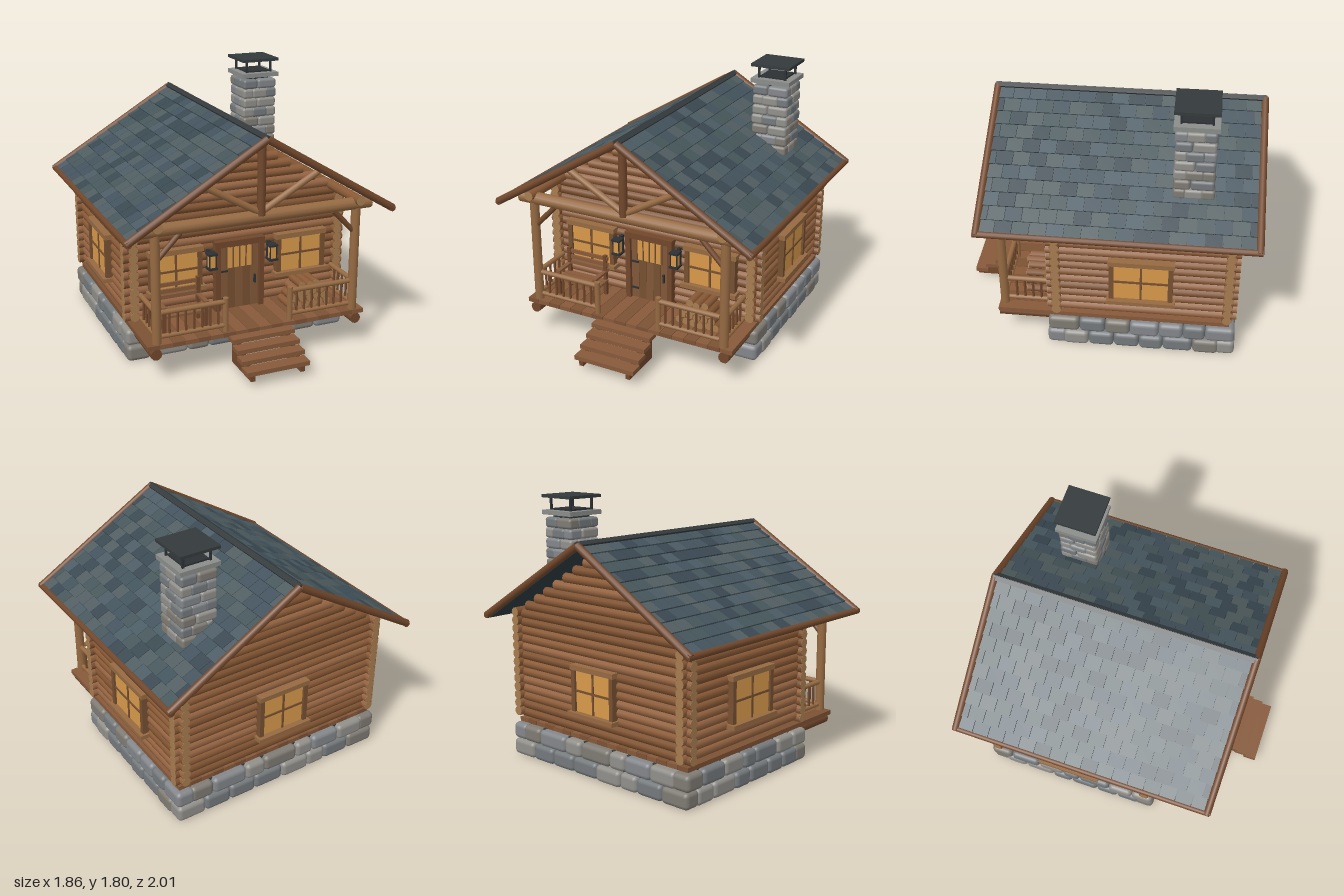
import * as THREE from 'three';
import { mergeGeometries } from 'three/addons/utils/BufferGeometryUtils.js';
import { RoundedBoxGeometry } from 'three/addons/geometries/RoundedBoxGeometry.js';

const LOGS = [0x8a5a36, 0x7f5230, 0x946340];
const END = 0xa67c50, TRIM = 0x71472b, POST = 0x966a42, PLANK = 0x86593a, DOOR = 0x765031;
const GLASS = 0xd8994a, IRON = 0x2c3134, DARK = 0x343a3c;
const SLATES = [0x42525c, 0x4b5b64, 0x3a4851, 0x505d60, 0x46565a];
const STONES = [0x83868a, 0x74797c, 0x908f8a, 0x7f7b74];
const RIDGE = 1.53, PITCH = 0.604, ANGLE = Math.atan(PITCH);

export function createModel() {
  const model = new THREE.Group();
  model.name = 'logCabin';
  let seed = 7;
  const rnd = () => (seed = (seed * 16807) % 2147483647) / 2147483647;
  const pick = (list) => list[Math.floor(rnd() * list.length)];

  // Pieces of one part and colour are gathered and merged into one mesh
  const batches = new Map();
  function add(name, color, geo, matrix) {
    if (matrix) geo.applyMatrix4(matrix);
    const key = name + color;
    if (!batches.has(key)) batches.set(key, { name, color, list: [] });
    batches.get(key).list.push(geo.index ? geo.toNonIndexed() : geo);
  }
  function box(name, color, w, h, d, x, y, z, matrix) {
    add(name, color, new THREE.BoxGeometry(w, h, d).translate(x, y, z), matrix);
  }
  // Round bar between two points, optionally with pale sawn ends
  function bar(name, color, a, b, r, ends = false, sides = 12) {
    const p = new THREE.Vector3(...a), q = new THREE.Vector3(...b);
    const dir = q.clone().sub(p), len = dir.length();
    const m = new THREE.Matrix4().compose(p.add(q).multiplyScalar(0.5),
      new THREE.Quaternion().setFromUnitVectors(new THREE.Vector3(0, 1, 0), dir.normalize()),
      new THREE.Vector3(1, 1, 1));
    add(name, color, new THREE.CylinderGeometry(r, r, len, sides), m);
    if (ends) add(name + 'Ends', END, new THREE.CylinderGeometry(r * 0.95, r * 0.95, len + 0.006, sides), m);
  }

  // Courses of rounded stones around a rectangle
  function stoneRing(name, cx, cz, hx, hz, y0, rows, rowH, stoneW, depth) {
    for (let row = 0; row < rows; row++) {
      for (let side = 0; side < 4; side++) {
        const alongX = side % 2 === 0, sign = side < 2 ? 1 : -1;
        const full = alongX === (row % 2 === 0);
        const half = (alongX ? hx : hz) - (full ? 0 : depth * 0.85);
        const n = Math.max(1, Math.round(2 * half / stoneW));
        const cuts = Array.from({ length: n + 1 }, (_, i) =>
          -half + 2 * half * (i + (i % n ? (rnd() - 0.5) * 0.35 : 0)) / n);
        for (let i = 0; i < n; i++) {
          const w = cuts[i + 1] - cuts[i], c = (cuts[i] + cuts[i + 1]) / 2;
          const d = depth * (1 + rnd() * 0.15), h = rowH * 0.99;
          const out = sign * ((alongX ? hz : hx) - depth / 2);
          const geo = new RoundedBoxGeometry(alongX ? w : d, h, alongX ? d : w, 2, Math.min(w, h, d) * 0.27);
          geo.translate(cx + (alongX ? c : out), y0 + rowH * (row + 0.5), cz + (alongX ? out : c));
          add(name, pick(STONES), geo);
        }
      }
    }
  }

  // Stone foundation with a dark core
  stoneRing('foundationStones', 0, -0.255, 0.8, 0.625, 0, 2, 0.113, 0.19, 0.12);
  box('foundationCore', DARK, 1.5, 0.21, 1.16, 0, 0.115, -0.255);

  // Floor planks running front to back, carried by two porch joists
  for (let i = 0; i < 18; i++) {
    box('floorPlanks', i % 2 ? PLANK : 0x7c5134, 0.083, 0.03, 1.55, -0.731 + i * 0.086, 0.247, -0.065);
  }
  for (const s of [-1, 1]) bar('porchJoist', TRIM, [s * 0.715, 0.198, 0.3], [s * 0.715, 0.198, 0.71], 0.037);

  // Log walls with crossing corners and stepped gables
  const R = 0.033, STEP = 0.058;
  for (let y = 0.307; y < 1.48; y += STEP) {
    const half = Math.min(0.8, (1.5 - y - R) / PITCH);
    if (half < 0.03) break;
    for (const z of [0.31, -0.82]) bar('gableWallLogs', pick(LOGS), [-half, y, z], [half, y, z], R, half > 0.7);
  }
  for (let y = 0.318; y < 1.03; y += STEP) {
    for (const x of [-0.742, 0.742]) bar('sideWallLogs', pick(LOGS), [x, y, -0.88], [x, y, 0.37], R, true);
  }

  // Windows: built facing +z, then turned onto their wall
  function windowUnit(w, h, x, y, z, turn) {
    const m = new THREE.Matrix4().makeRotationY(turn).setPosition(x, y, z);
    const put = (n, c, ...v) => box(n, c, ...v, m);
    put('windowGlass', GLASS, w, h, 0.04, 0, 0, 0.02);
    for (const s of [-1, 1]) put('windowFrame', DOOR, 0.032, h, 0.06, s * (w / 2 + 0.012), 0, 0.025);
    put('windowHeader', POST, w + 0.07, 0.034, 0.07, 0, h / 2 + 0.015, 0.025);
    put('windowSill', POST, w + 0.09, 0.028, 0.09, 0, -h / 2 - 0.014, 0.035);
    put('windowBars', DOOR, 0.014, h, 0.05, 0, 0, 0.022);
    put('windowBars', DOOR, w, 0.014, 0.05, 0, 0, 0.022);
  }
  for (const s of [-1, 1]) {
    windowUnit(0.31, 0.24, s * 0.455, 0.6, 0.33, 0);
    windowUnit(0.36, 0.28, s * 0.755, 0.585, -0.25, s * Math.PI / 2);
  }
  windowUnit(0.32, 0.28, 0, 0.575, -0.832, Math.PI);

  // Plank door with barred light, hinges and handle
  for (const s of [-1, 1]) box('doorFrame', TRIM, 0.036, 0.47, 0.08, s * 0.16, 0.497, 0.345);
  box('doorFrame', TRIM, 0.36, 0.042, 0.085, 0, 0.737, 0.345);
  for (let i = 0; i < 5; i++) box('doorPlanks', i % 2 ? DOOR : 0x805838, 0.054, 0.45, 0.05, -0.112 + i * 0.056, 0.49, 0.34);
  box('doorLight', GLASS, 0.19, 0.145, 0.056, 0, 0.632, 0.342);
  for (let i = -2; i <= 2; i++) box('doorLightBars', DOOR, 0.009, 0.15, 0.064, i * 0.047, 0.632, 0.342);
  for (const y of [0.34, 0.54]) box('doorHinges', IRON, 0.055, 0.012, 0.012, -0.113, y, 0.368);
  box('doorHandle', IRON, 0.012, 0.06, 0.025, 0.112, 0.46, 0.372);

  for (const s of [-1, 1]) {
    // Lanterns beside the door
    box('lanternGlass', GLASS, 0.044, 0.085, 0.044, s * 0.22, 0.65, 0.415);
    for (const y of [0.6, 0.7]) box('lanternCaps', IRON, 0.064, 0.014, 0.066, s * 0.22, y, 0.415);
    box('lanternBracket', IRON, 0.02, 0.13, 0.03, s * 0.22, 0.645, 0.36);
    box('lanternBracket', IRON, 0.014, 0.014, 0.07, s * 0.22, 0.585, 0.385);
    for (const dx of [-1, 1]) for (const dz of [-1, 1])
      box('lanternBars', IRON, 0.007, 0.09, 0.007, s * 0.22 + dx * 0.023, 0.65, 0.415 + dz * 0.023);

    // Porch posts, eave beams and knee braces
    bar('porchPost', POST, [s * 0.7, 0.23, 0.675], [s * 0.7, 0.99, 0.675], 0.031);
    bar('eaveBeam', LOGS[0], [s * 0.7, 1.045, 0.3], [s * 0.7, 1.045, 0.735], 0.033, true);
    bar('kneeBrace', TRIM, [s * 0.68, 0.83, 0.675], [s * 0.535, 0.98, 0.675], 0.018);

    // Railings along the front and the ends of the porch
    const rails = [[[s * 0.67, 0.675], [s * 0.225, 0.675], 8], [[s * 0.7, 0.645], [s * 0.7, 0.37], 5]];
    for (const [[x0, z0], [x1, z1], n] of rails) {
      bar('railTop', POST, [x0, 0.468, z0], [x1, 0.468, z1], 0.017);
      bar('railBottom', POST, [x0, 0.305, z0], [x1, 0.305, z1], 0.015);
      for (let i = 1; i < n; i++) {
        const x = x0 + (x1 - x0) * i / n, z = z0 + (z1 - z0) * i / n;
        bar('balusters', TRIM, [x, 0.305, z], [x, 0.468, z], 0.0085, false, 8);
      }
    }
    bar('railNewel', POST, [s * 0.23, 0.25, 0.675], [s * 0.23, 0.495, 0.675], 0.019);

    // Diagonal struts of the front truss
    bar('trussStrut', POST, [0, 1.045, 0.69], [s * 0.42, 1.28, 0.69], 0.022);

    // Rake and eave logs around the roof edge
    for (const z of [0.78, -0.98]) bar('rakeLog', TRIM, [0, 1.54, z], [s * 0.915, 0.988, z], 0.025);
    bar('eaveLog', TRIM, [s * 0.905, 0.99, -1], [s * 0.905, 0.99, 0.8], 0.022);

    // Roof deck
    const deck = new THREE.Matrix4().makeRotationZ(-s * ANGLE).setPosition(s * 0.45, RIDGE - 0.45 * PITCH - 0.008, -0.1);
    box('roofDeck', 0x2f3b42, 1.055, 0.02, 1.75, 0, 0, 0, deck);

    // Staggered shingles, each tipped up at its lower edge
    for (let row = 0; row < 11; row++) {
      const x = 0.043 + row * 0.082, m = new THREE.Matrix4().makeRotationZ(-s * (ANGLE - 0.1));
      m.setPosition(s * x, RIDGE + 0.014 - x * PITCH, 0);
      const w = 0.109, shift = (row % 2) * w / 2;
      for (let z = -0.97 - shift; z < 0.76; z += w) {
        const a = Math.max(z, -0.97), b = Math.min(z + w, 0.77);
        if (b - a > 0.01) box('roofShingles', pick(SLATES), 0.105, 0.012, b - a - 0.004, 0, 0, (a + b) / 2, m);
      }
    }
    // Ridge cap, one wing per slope
    const cap = new THREE.Matrix4().makeRotationZ(-s * ANGLE).setPosition(s * 0.011, 1.551, -0.1);
    box('ridgeCap', DARK, 0.036, 0.014, 1.78, 0, 0, 0, cap);
  }
  bar('tieBeam', POST, [-0.8, 1.015, 0.675], [0.8, 1.015, 0.675], 0.042, true);
  bar('kingPost', TRIM, [0, 1.03, 0.7], [0, 1.53, 0.7], 0.027);

  // Front steps on two stringers
  for (let i = 0; i < 4; i++) {
    const top = 0.112 + i * 0.042, front = 1 - i * 0.074;
    box('stepTreads', PLANK, 0.44, 0.03, 0.09, 0, top - 0.015, front - 0.045);
    for (const s of [-1, 1]) {
      box('stepStringers', TRIM, 0.03, top - 0.07, front - 0.7, s * 0.175, (top + 0.01) / 2, (front + 0.68) / 2);
    }
  }

  // Porch bench
  for (const x of [-0.61, -0.32]) {
    box('benchLegs', TRIM, 0.024, 0.3, 0.024, x, 0.41, 0.42);
    box('benchLegs', TRIM, 0.024, 0.17, 0.024, x, 0.345, 0.56);
    box('benchArms', PLANK, 0.03, 0.016, 0.17, x, 0.437, 0.49);
  }
  for (let i = 0; i < 3; i++) box('benchSeat', PLANK, 0.33, 0.016, 0.045, -0.465, 0.37, 0.44 + i * 0.05);
  for (const y of [0.45, 0.49, 0.535]) box('benchBack', PLANK, 0.33, 0.026, 0.014, -0.465, y, 0.418);

  // Firewood stack
  for (let row = 0; row < 4; row++) for (let i = 0; i < 6 - row; i++) {
    const x = 0.31 + i * 0.054 + row * 0.027, y = 0.288 + row * 0.046;
    bar('firewood', pick(LOGS), [x, y, 0.38], [x, y, 0.53 + rnd() * 0.03], 0.026, true, 9);
  }

  // Chimney: stone shaft, slab and raised iron cap
  const CX = 0.51, CZ = -0.555;
  stoneRing('chimneyStones', CX, CZ, 0.128, 0.128, 1.16, 7, 0.07, 0.11, 0.08);
  box('chimneyCore', DARK, 0.17, 0.51, 0.17, CX, 1.415, CZ);
  box('chimneySlab', 0x8b8d8b, 0.28, 0.03, 0.28, CX, 1.682, CZ);
  box('chimneyFlue', IRON, 0.18, 0.012, 0.18, CX, 1.702, CZ);
  for (const dx of [-1, 1]) for (const dz of [-1, 1])
    box('chimneyCapLegs', IRON, 0.014, 0.09, 0.014, CX + dx * 0.095, 1.74, CZ + dz * 0.095);
  box('chimneyCap', DARK, 0.28, 0.02, 0.28, CX, 1.79, CZ);

  for (const { name, color, list } of batches.values()) {
    const mesh = new THREE.Mesh(mergeGeometries(list), new THREE.MeshStandardMaterial({ color }));
    mesh.name = name;
    model.add(mesh);
  }
  return model;
}
